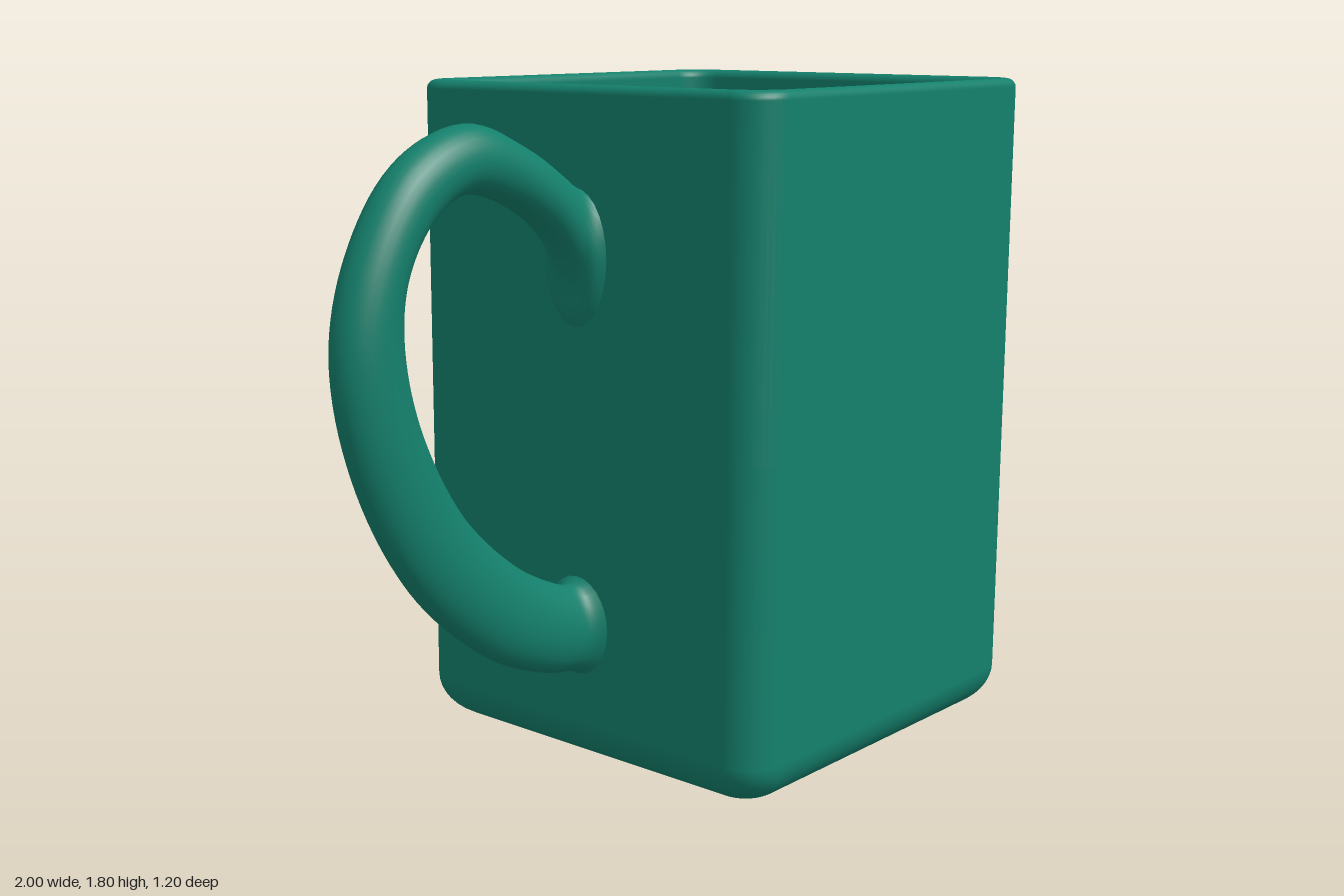
import * as THREE from 'three';

const material = new THREE.MeshStandardMaterial({ color: 0x14806c });

// Skin a list of equal-length closed rings of Vector3.
function loft(rings, name) {
  const n = rings[0].length;
  const positions = rings.flat().flatMap((p) => [p.x, p.y, p.z]);
  const index = [];
  for (let i = 0; i < rings.length - 1; i++) {
    for (let j = 0; j < n; j++) {
      const k = (j + 1) % n;
      const a = i * n + j, b = i * n + k, c = a + n, d = b + n;
      index.push(a, c, b, b, c, d);
    }
  }
  const geometry = new THREE.BufferGeometry();
  geometry.setAttribute('position', new THREE.Float32BufferAttribute(positions, 3));
  geometry.setIndex(index);
  geometry.computeVertexNormals();
  const mesh = new THREE.Mesh(geometry, material);
  mesh.name = name;
  return mesh;
}

// Horizontal square ring with rounded corners.
function squareRing(half, radius, y, steps = 10) {
  const r = Math.min(radius, half);
  const ring = [];
  for (let corner = 0; corner < 4; corner++) {
    const mid = (corner + 0.5) * Math.PI / 2;
    const cx = Math.sign(Math.cos(mid)) * (half - r);
    const cz = Math.sign(Math.sin(mid)) * (half - r);
    for (let s = 0; s <= steps; s++) {
      const a = (corner + s / steps) * Math.PI / 2;
      ring.push(new THREE.Vector3(cx + r * Math.cos(a), y, cz + r * Math.sin(a)));
    }
  }
  return ring;
}

// Square cup: up the outside, over the rim, down the inside to the floor.
function createCup() {
  const rings = [];
  const add = (half, y, r) => rings.push(squareRing(half, r, y));
  const arc = (cx, cy, radius, from, to, corner, steps = 10) => {
    for (let s = 0; s <= steps; s++) {
      const a = THREE.MathUtils.lerp(from, to, s / steps);
      const half = cx + radius * Math.cos(a);
      add(half, cy + radius * Math.sin(a), corner(half));
    }
  };
  const outerCorner = (h) => 0.1 - (0.6 - h) * 0.4;
  const innerCorner = (h) => 0.07 + (0.552 - h) * 0.2;
  add(0, 0, 0);
  add(0.3, 0, 0.04);
  arc(0.48, 0.12, 0.12, -Math.PI / 2, 0, outerCorner);
  add(0.6, 0.9, 0.1);
  arc(0.576, 1.781, 0.024, 0, Math.PI, outerCorner);
  add(0.552, 0.9, 0.07);
  arc(0.442, 0.17, 0.11, 0, -Math.PI / 2, innerCorner);
  add(0.3, 0.06, 0.07);
  add(0, 0.06, 0);
  const cup = loft(rings, 'cup');
  cup.position.x = 0.4;
  return cup;
}

// Handle: oval sections spanning matched outer and inner edge curves.
function createHandle() {
  const curve = (pts) => new THREE.CatmullRomCurve3(pts.map(([x, y]) => new THREE.Vector3(x, y, 0)));
  const outer = curve([
    [-0.17, 1.54], [-0.21, 1.552], [-0.27, 1.59], [-0.4, 1.665], [-0.58, 1.725], [-0.79, 1.645],
    [-0.94, 1.44], [-1, 1.2], [-0.945, 0.91], [-0.78, 0.605], [-0.53, 0.38],
    [-0.33, 0.29], [-0.23, 0.27], [-0.2, 0.255], [-0.17, 0.22]]);
  const inner = curve([
    [-0.17, 1.15], [-0.205, 1.2], [-0.235, 1.34], [-0.36, 1.473], [-0.59, 1.557], [-0.71, 1.5],
    [-0.79, 1.385], [-0.81, 1.25], [-0.765, 1.03], [-0.63, 0.785], [-0.45, 0.615],
    [-0.3, 0.53], [-0.23, 0.508], [-0.207, 0.518], [-0.17, 0.56]]);
  const rings = [];
  const steps = 112, sides = 28;
  for (let i = 0; i <= steps; i++) {
    const o = outer.getPoint(i / steps), n = inner.getPoint(i / steps);
    const centre = o.clone().add(n).multiplyScalar(0.5);
    const span = o.clone().sub(centre);
    // Widen where the handle blends into the cup wall.
    const flare = THREE.MathUtils.clamp((centre.x + 0.25) / 0.08, 0, 1);
    const width = 0.077 + 0.08 * flare * flare;
    const ring = [];
    for (let s = 0; s < sides; s++) {
      const a = (s / sides) * Math.PI * 2;
      const p = centre.clone().addScaledVector(span, Math.cos(a));
      p.z = width * Math.sin(a);
      ring.push(p);
    }
    rings.push(ring);
  }
  return loft(rings, 'handle');
}

export function createModel() {
  const group = new THREE.Group();
  group.name = 'squareMug';
  group.add(createCup(), createHandle());
  return group;
}
